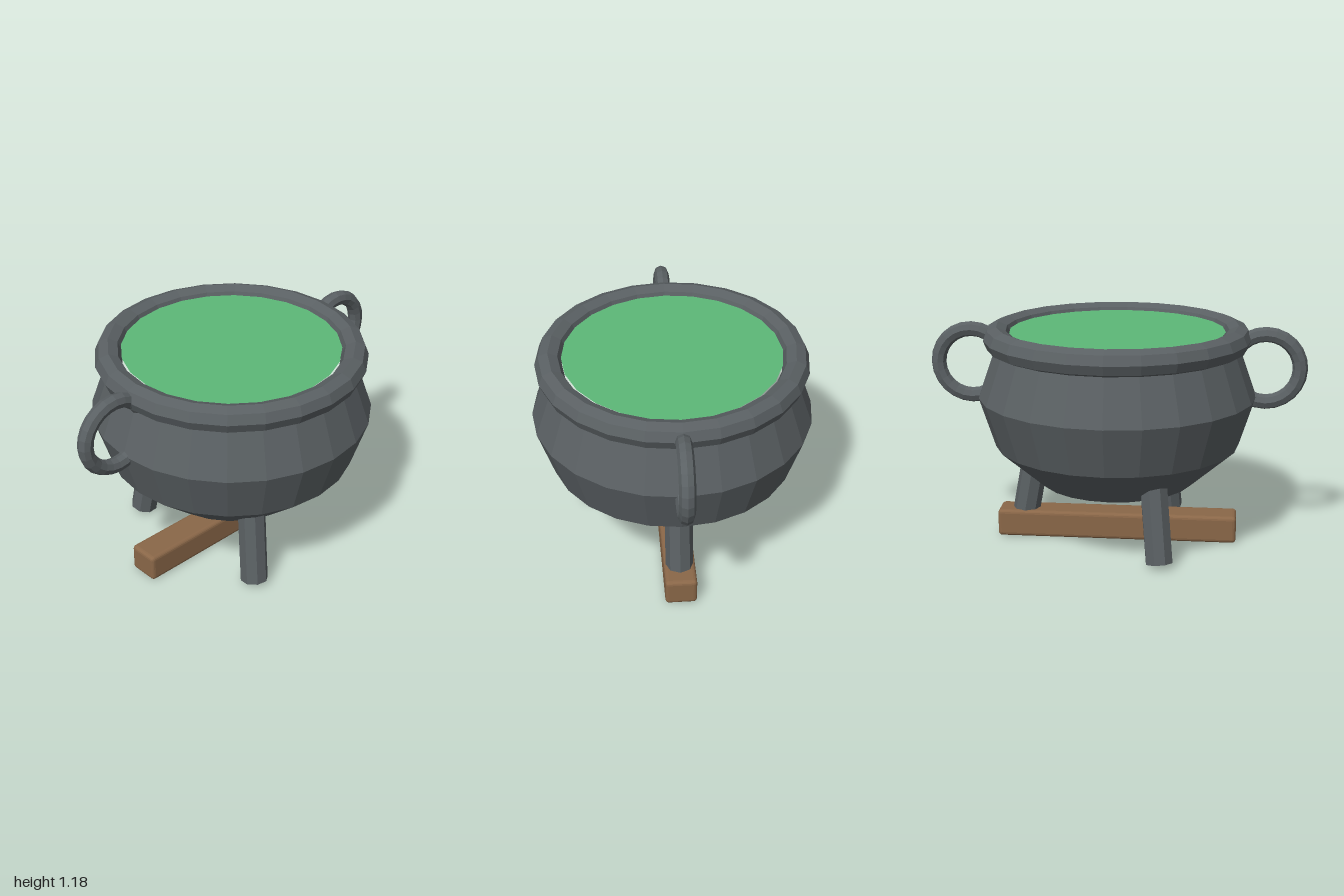
import * as THREE from 'three';
import { RoundedBoxGeometry } from 'three/addons/geometries/RoundedBoxGeometry.js';

const SIDES = 24;

export function createModel() {
  const iron = new THREE.MeshStandardMaterial({ color: 0x5a6063, flatShading: true });
  iron.name = 'iron';
  const wood = new THREE.MeshStandardMaterial({ color: 0x8a6748, flatShading: true });
  wood.name = 'wood';
  const brew = new THREE.MeshStandardMaterial({ color: 0x5cb878, flatShading: true });
  brew.name = 'brew';

  const model = new THREE.Group();
  model.name = 'cauldron';
  const add = (name, geometry, material, parent = model) => {
    const mesh = new THREE.Mesh(geometry, material);
    mesh.name = name;
    parent.add(mesh);
    return mesh;
  };

  // Pot body, turned from the underside up to the neck hidden in the rim
  const profile = [[0, 0.29], [0.41, 0.33], [0.65, 0.54], [0.735, 0.805], [0.65, 1.045], [0.635, 1.1]]
    .map(([r, y]) => new THREE.Vector2(r, y));
  add('pot', new THREE.LatheGeometry(profile, SIDES), iron);

  // Thick octagonal rim
  const rim = add('rim', new THREE.TorusGeometry(0.635, 0.07, 8, SIDES).rotateX(-Math.PI / 2), iron);
  rim.position.y = 1.11;

  // Liquid surface just below the rim's top
  const liquid = add('liquid', new THREE.CircleGeometry(0.568, SIDES).rotateX(-Math.PI / 2), brew);
  liquid.position.y = 1.145;

  // Ring handles, sunk into the sides
  for (const [name, side] of [['leftHandle', 1], ['rightHandle', -1]]) {
    const handle = add(name, new THREE.TorusGeometry(0.18, 0.04, 8, 24), iron);
    handle.position.set(side * 0.78, 0.957, 0);
  }

  // Three splayed legs: each is built leaning along +x, then turned about y
  const legLength = 0.45, splay = 0.18;
  const legGeometry = new THREE.CylinderGeometry(0.073, 0.073, legLength, 8)
    .translate(0, legLength / 2, 0)
    .rotateZ(splay)
    .translate(0.52, 0.025, 0);
  ['leftLeg', 'frontLeg', 'backLeg'].forEach((name, i) => {
    const leg = add(name, legGeometry, iron);
    leg.rotation.y = -i * Math.PI * 2 / 3;
  });

  // Firewood beam lying under the pot
  const log = add('firewood', new RoundedBoxGeometry(1.295, 0.148, 0.167, 2, 0.02), wood);
  log.position.y = 0.076;

  return model;
}
